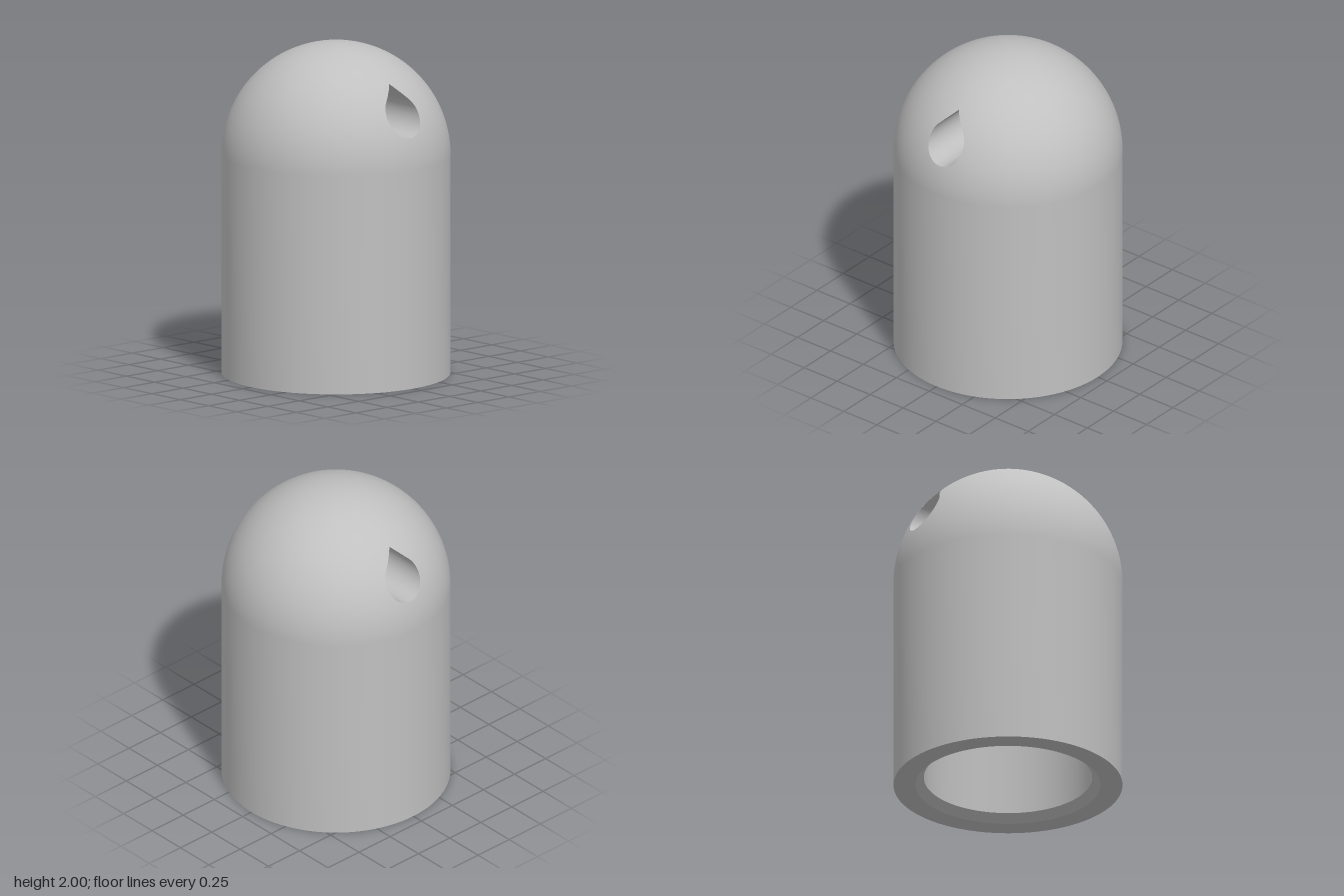
import * as THREE from 'three';
import { toCreasedNormals } from 'three/addons/utils/BufferGeometryUtils.js';

const R = 0.68;         // outer radius
const DOME_Y = 1.32;    // height where the dome starts
const HOLE_R = 0.125;   // radius of the round part of the teardrop
const HOLE_Y = 0.315;   // hole centre above the dome centre
const HALF = 48;        // steps per half loop
const RINGS = 28;

// Teardrop outline on the dome surface, i = 0 .. 2 * HALF, relative to the dome centre
function holePoint(i) {
  const a = -Math.PI * i / HALF;
  const c = Math.cos(a), s = Math.sin(a);
  const pointed = s > Math.SQRT1_2 - 1e-6;
  const r = pointed ? HOLE_R * Math.SQRT2 / (Math.abs(c) + s) : HOLE_R;
  const x = r * c, y = HOLE_Y + r * s;
  return new THREE.Vector3(x, y, Math.sqrt(R * R - x * x - y * y));
}

// Edge of the front half dome: along the base, then back over the top
function edgePoint(i) {
  const t = Math.PI * (i % HALF) / HALF;
  const base = i < HALF || i === 2 * HALF;
  if (i === 2 * HALF) return new THREE.Vector3(R, 0, 0);
  return base
    ? new THREE.Vector3(R * Math.cos(t), 0, R * Math.sin(t))
    : new THREE.Vector3(-R * Math.cos(t), R * Math.sin(t), 0);
}

// Grid of quads over columns of points
function gridGeometry(columns) {
  const rows = columns[0].length, pos = [], index = [];
  columns.forEach(col => col.forEach(p => pos.push(p.x, p.y, p.z)));
  for (let i = 0; i < columns.length - 1; i++) {
    for (let j = 0; j < rows - 1; j++) {
      const a = i * rows + j, b = a + rows;
      index.push(a, b, a + 1, b, b + 1, a + 1);
    }
  }
  const geo = new THREE.BufferGeometry();
  geo.setAttribute('position', new THREE.Float32BufferAttribute(pos, 3));
  geo.setIndex(index);
  return geo;
}

// Half dome: rings spread over the sphere from the hole to the edge
function halfDomeGeometry() {
  const columns = [];
  for (let i = 0; i <= 2 * HALF; i++) {
    const from = holePoint(i), to = edgePoint(i), col = [];
    for (let j = 0; j <= RINGS; j++) {
      col.push(from.clone().lerp(to, j / RINGS).setLength(R));
    }
    columns.push(col);
  }
  const geo = gridGeometry(columns);
  const normals = columns.flat().flatMap(p => p.clone().normalize().toArray());
  geo.setAttribute('normal', new THREE.Float32BufferAttribute(normals, 3));
  return geo;
}

// Wall of the teardrop hole, running straight from front to back
function channelGeometry() {
  const columns = [];
  for (let i = 2 * HALF; i >= 0; i--) {
    const front = holePoint(i);
    columns.push([front, new THREE.Vector3(front.x, front.y, -front.z)]);
  }
  return toCreasedNormals(gridGeometry(columns), 0.5);
}

export function createModel() {
  const group = new THREE.Group();
  const grey = new THREE.MeshStandardMaterial({ color: 0xc0c0c0 });
  grey.name = 'grey';

  const add = (name, geo, y) => {
    const mesh = new THREE.Mesh(geo, grey);
    mesh.name = name;
    mesh.position.y = y;
    group.add(mesh);
    return mesh;
  };

  // Body: bore ceiling, bore wall, chamfered mouth, bottom rim, outer wall
  const profile = [
    [0, DOME_Y], [0.5, DOME_Y], [0.5, 0.048], [0.548, 0], [R, 0], [R, DOME_Y],
  ].map(([x, y]) => new THREE.Vector2(x, y));
  add('body', toCreasedNormals(new THREE.LatheGeometry(profile, 2 * HALF), 0.5), 0);

  // Dome in two halves, pierced front and back
  const dome = halfDomeGeometry();
  add('frontDome', dome, DOME_Y);
  add('backDome', dome, DOME_Y).rotation.y = Math.PI;

  add('teardropHole', channelGeometry(), DOME_Y);

  return group;
}
